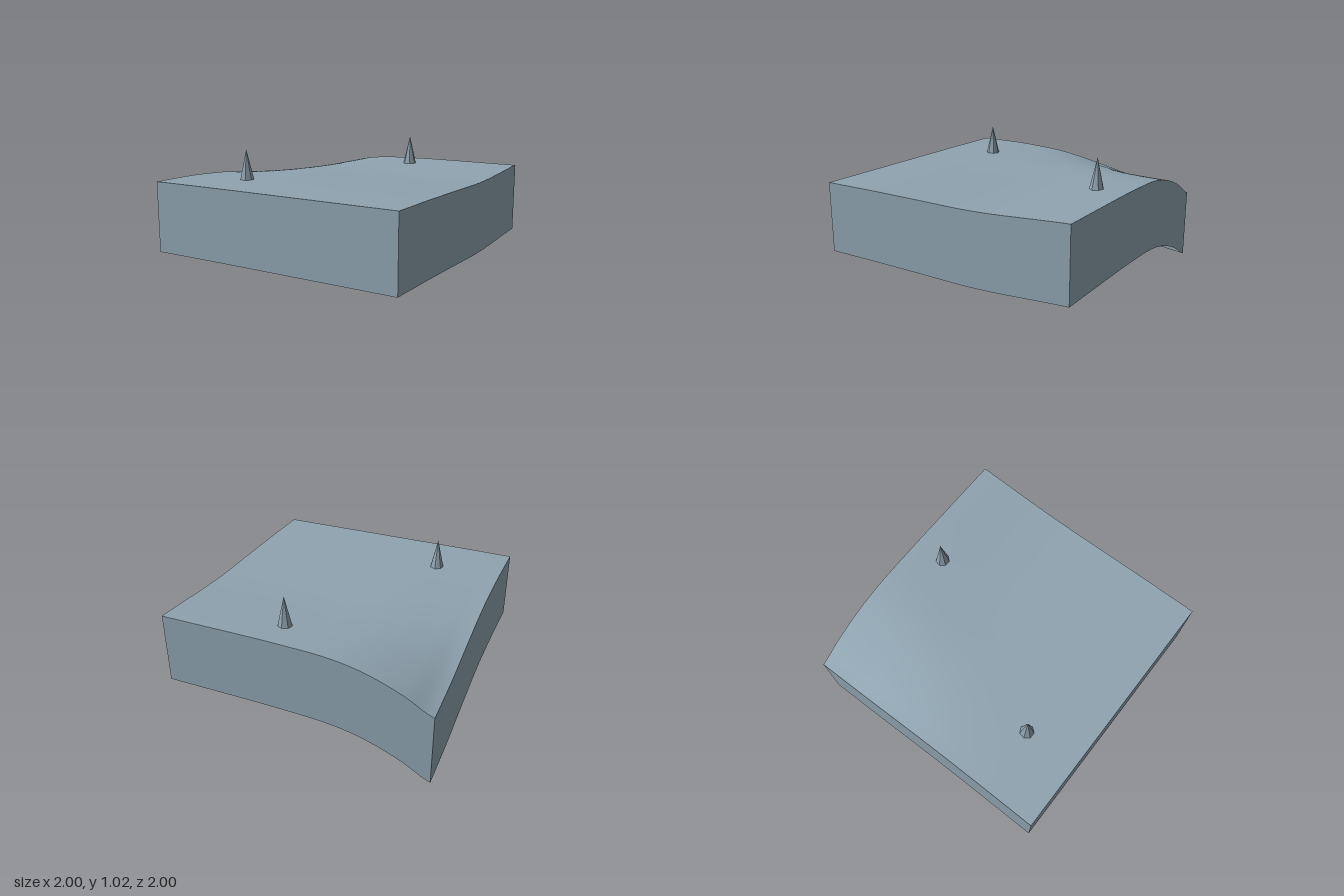
import * as THREE from 'three';

const SEG = 48;        // grid divisions along each side
const DEPTH = 0.53;    // height of the skirt walls
const BASE = 0.775;    // level ground height

// Smooth profile through evenly spaced values, sampled over -1..1
function profile(values) {
  const curve = new THREE.SplineCurve(values.map((v, i) => new THREE.Vector2(i, v)));
  return (p) => curve.getPoint((p + 1) / 2).y;
}

const dropX = profile([0.245, 0.14, 0.06, 0.014, 0, 0, 0, 0, 0, 0, 0]);
const dropZ = profile([1, 0.9, 0.775, 0.59, 0.41, 0.245, 0.12, 0.06, 0.02, 0.012, 0.012]);
const riseX = profile([0, 0, 0, 0.2, 0.55, 0.8, 0.95, 1, 1, 1, 1]);
const riseZ = profile([0.03, 0.02, 0.007, -0.004, -0.009, -0.007, -0.004, -0.002, 0, 0, 0]);

// Ground height: one corner falls away, the opposite end of the back edge rises
const height = (x, z) => BASE - dropX(x) * dropZ(z) + riseX(x) * riseZ(z);

// Smooth curved ground
function groundGeometry() {
  const g = new THREE.PlaneGeometry(2, 2, SEG, SEG).rotateX(-Math.PI / 2);
  const p = g.attributes.position;
  for (let i = 0; i < p.count; i++) p.setY(i, height(p.getX(i), p.getZ(i)));
  g.computeVertexNormals();
  return g;
}

// Wall hanging from one edge; at(t) gives the edge point for t in -1..1
function wallGeometry(at) {
  const g = new THREE.PlaneGeometry(2, 1, SEG, 1);
  const p = g.attributes.position;
  for (let i = 0; i < p.count; i++) {
    const [x, z] = at(p.getX(i));
    p.setXYZ(i, x, height(x, z) - (p.getY(i) > 0 ? 0 : DEPTH), z);
  }
  g.computeVertexNormals();
  return g;
}

export function createModel() {
  const model = new THREE.Group();
  model.name = 'terrainTile';

  const slate = new THREE.MeshStandardMaterial({ color: 0x8fa3b0 });
  slate.name = 'slateBlue';
  slate.side = THREE.DoubleSide;

  const add = (name, geometry) => {
    const mesh = new THREE.Mesh(geometry, slate);
    mesh.name = name;
    model.add(mesh);
    return mesh;
  };

  add('ground', groundGeometry());

  // Open-bottomed skirt
  add('frontWall', wallGeometry((t) => [t, 1]));
  add('backWall', wallGeometry((t) => [-t, -1]));
  add('leftWall', wallGeometry((t) => [1, -t]));
  add('rightWall', wallGeometry((t) => [-1, t]));

  // Faceted spikes standing on the ground
  const spike = new THREE.ConeGeometry(0.053, 0.225, 7)
    .rotateY(Math.PI).translate(0, 0.1125, 0).toNonIndexed();
  spike.computeVertexNormals();
  [[-0.5, 0.58], [0.165, -0.75]].forEach(([x, z], i) => {
    add('spike' + (i + 1), spike).position.set(x, height(x, z), z);
  });

  return model;
}
